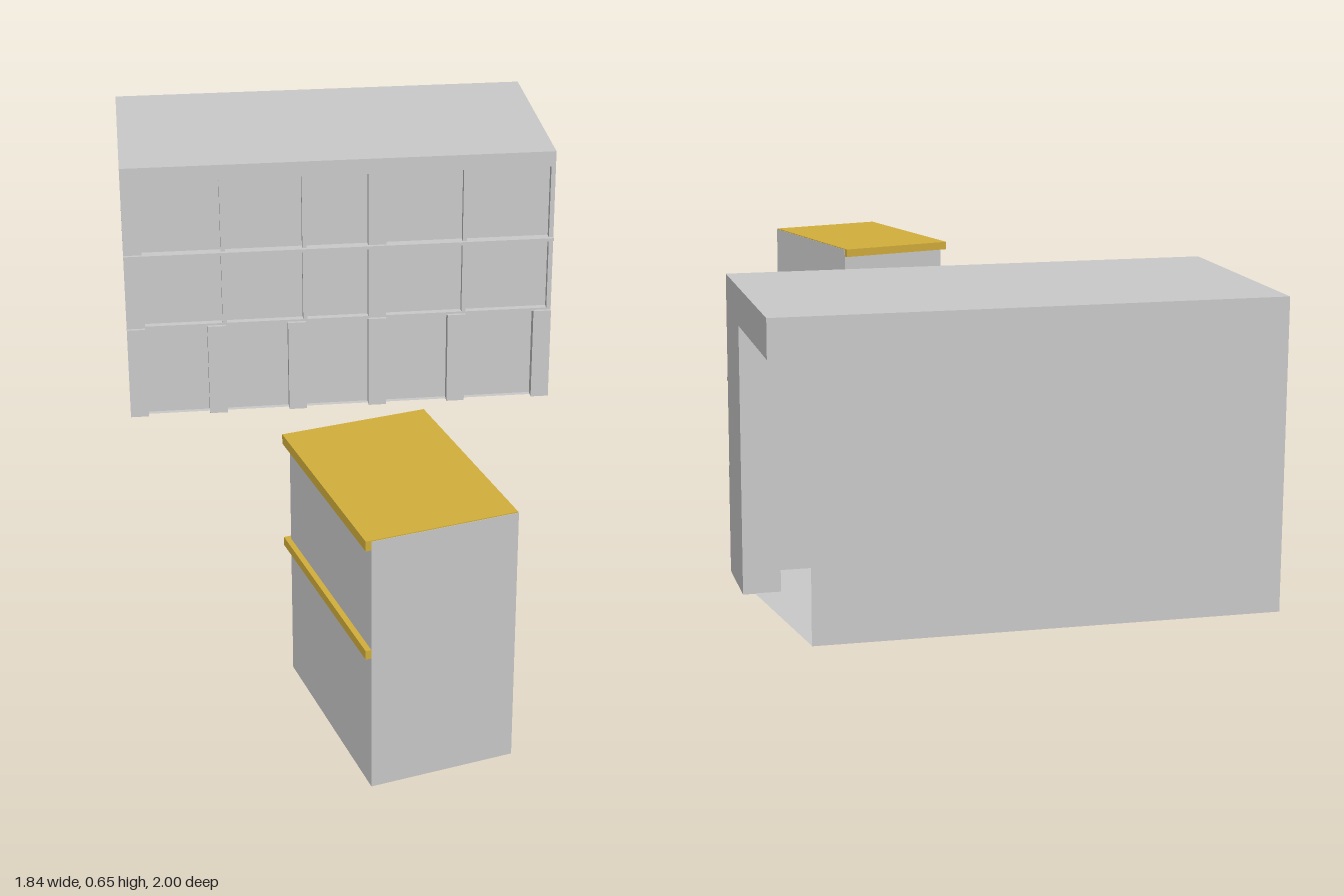
import * as THREE from 'three';

const grey = new THREE.MeshStandardMaterial({ color: 0xcccccc, side: THREE.DoubleSide, flatShading: true });
const yellow = new THREE.MeshStandardMaterial({ color: 0xd4b03c, flatShading: true });

// Box given by its minimum and maximum corners
function box(parent, name, [x0, y0, z0], [x1, y1, z1], material = grey) {
  const mesh = new THREE.Mesh(new THREE.BoxGeometry(x1 - x0, y1 - y0, z1 - z0), material);
  mesh.position.set((x0 + x1) / 2, (y0 + y1) / 2, (z0 + z1) / 2);
  mesh.name = name;
  parent.add(mesh);
  return mesh;
}

// Flat sheet from an outline; place maps outline points into the building's frame
function sheet(parent, name, points, place) {
  const geometry = new THREE.ShapeGeometry(new THREE.Shape(points.map(p => new THREE.Vector2(...p))));
  const pos = geometry.attributes.position;
  for (let i = 0; i < pos.count; i++) pos.setXYZ(i, ...place(pos.getX(i), pos.getY(i)));
  geometry.computeVertexNormals();
  const mesh = new THREE.Mesh(geometry, grey);
  mesh.name = name;
  parent.add(mesh);
}
const rect = (a0, b0, a1, b1) => [[a0, b0], [a1, b0], [a1, b1], [a0, b1]];
const alongX = z => (a, b) => [a, b, z];
const alongZ = x => (a, b) => [x, b, a];
const level = y => (a, b) => [a, y, -b];

// Long hollow building with a passage through it
function createHall() {
  const hall = new THREE.Group();
  hall.name = 'hall';
  const L = 0.5225, W = 0.2625, H = 0.65;
  const soffit = 0.57, recess = 0.4425, column = 0.0975, gate = 0.26;

  // Shell: roof, floor and back wall with the notch under the overhang
  sheet(hall, 'roof', rect(-L, -W, L, W), level(H));
  sheet(hall, 'floor', [[-L, -W], [L, -W], [recess, W], [-L, W]], level(0.001));
  sheet(hall, 'backWall',
    [[-L, 0], [recess, 0], [recess, soffit], [L, soffit], [L, H], [-L, H]], alongX(-W));

  // Open end with a gate, and the recessed end under its overhang
  sheet(hall, 'gateWall', rect(-W, gate, W, H), alongZ(-L));
  sheet(hall, 'recessedEnd',
    [[W, 0], [W, H], [-W, H], [-W, soffit], [column, soffit], [column, 0]], alongZ(L));
  sheet(hall, 'soffit', rect(recess, -column, L, W), level(soffit));
  sheet(hall, 'columnReturn', rect(recess, 0, L, soffit), alongX(column));

  // Facade: recessed panels framed by pilasters, fins and bands
  const facade = new THREE.Group();
  facade.name = 'facade';
  hall.add(facade);
  const back = W - 0.012, front = W + 0.004, proud = W + 0.012;
  sheet(facade, 'facadeWall', rect(-L, 0, L, H), alongX(back));
  box(facade, 'cornice', [-L, 0.612, back], [L, H, front]);
  box(facade, 'middleBand', [-L, 0.42, back], [L, 0.428, proud]);
  box(facade, 'lowerBand', [-L, 0.232, back], [L, 0.24, front]);
  for (const x of [-0.5, -0.305, -0.108, 0.09, 0.286, 0.5]) {
    box(facade, 'groundPilaster', [x - 0.022, 0, back], [x + 0.022, 0.235, proud]);
  }
  for (const [x, w] of [[-0.5, 0.044], [-0.284, 0.01], [-0.087, 0.01], [0.09, 0.044], [0.304, 0.01], [0.517, 0.011]]) {
    box(facade, 'upperPilaster', [x - w / 2, 0.235, back], [x + w / 2, 0.612, front]);
  }

  hall.position.set(0.35, 0, -0.465);
  hall.rotation.y = -0.695;
  return hall;
}

// Small block with two yellow slabs standing out on two sides
function createBlock() {
  const block = new THREE.Group();
  block.name = 'smallBlock';
  const a = 0.1425, b = 0.215, out = 0.011;
  box(block, 'body', [-a, 0, -b], [a, 0.523, b]);
  for (const [y0, y1] of [[0.28, 0.298], [0.505, 0.525]]) {
    box(block, 'yellowBand', [-a - out, y0, -b - out], [a - 0.001, y1, b - 0.001], yellow);
  }
  block.position.set(-0.695, 0, 0.745);
  block.rotation.y = -0.437;
  return block;
}

export function createModel() {
  const model = new THREE.Group();
  model.name = 'buildings';
  model.add(createHall(), createBlock());
  return model;
}
